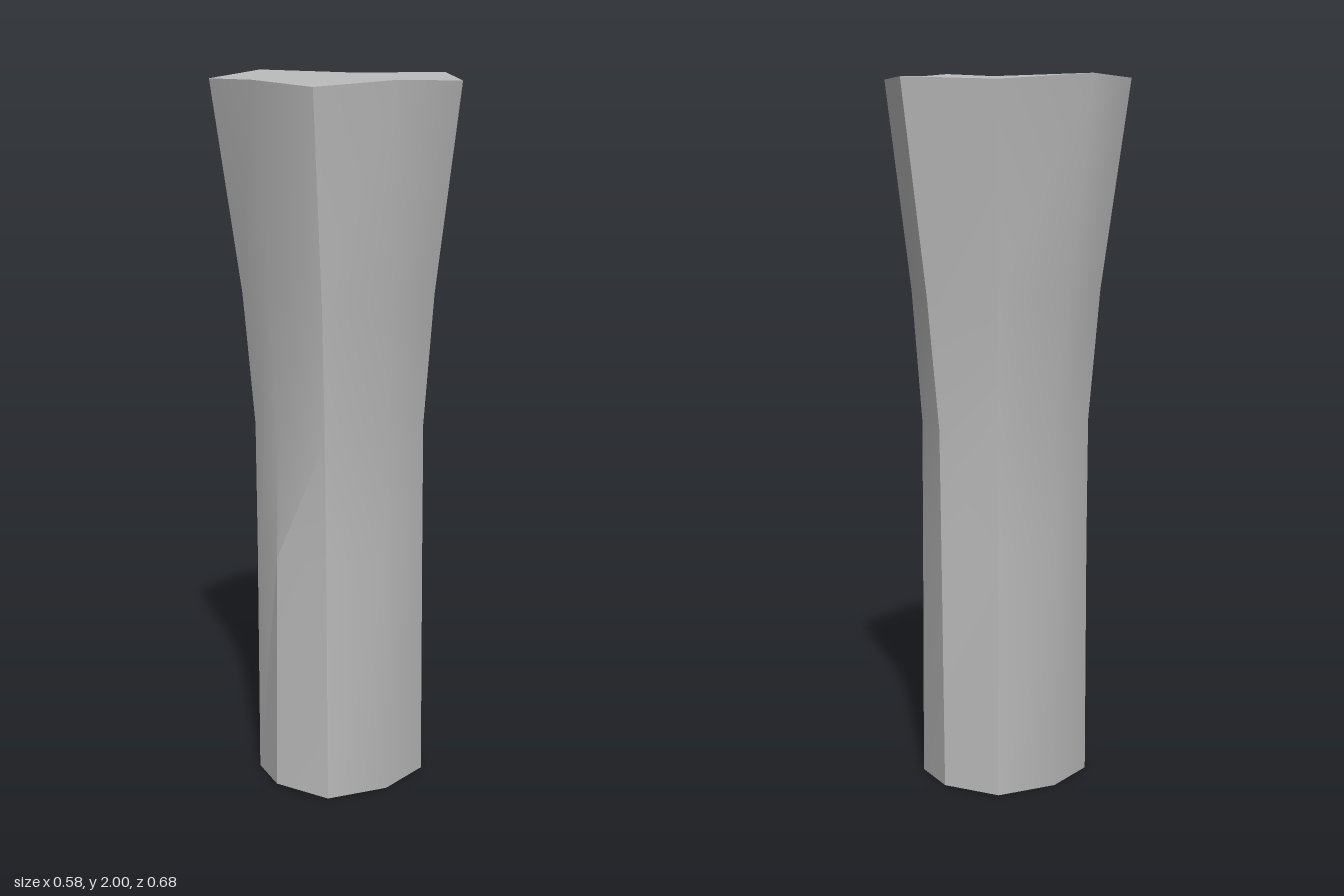
import * as THREE from 'three';
import { toCreasedNormals } from 'three/addons/utils/BufferGeometryUtils.js';

// Half outline of each level, from the front tip round the left side to the back tip: [x, y, z]
const levels = [
  [[0, 0.01, 0.28], [0.157, 0, 0.22], [0.205, 0, 0.045], [0.157, 0, -0.13], [0, 0.005, -0.19]],
  [[0, 0.68, 0.272], [0.155, 0.68, 0.222], [0.203, 0.68, 0.045], [0.155, 0.68, -0.13], [0, 0.68, -0.2]],
  [[0, 1.03, 0.266], [0.155, 1.03, 0.225], [0.203, 1.03, 0.047], [0.155, 1.03, -0.13], [0, 1.03, -0.206]],
  [[0, 1.4, 0.292], [0.175, 1.4, 0.25], [0.236, 1.4, 0.06], [0.175, 1.4, -0.15], [0, 1.4, -0.25]],
  [[0, 1.996, 0.34], [0.224, 1.988, 0.317], [0.291, 2, 0.093], [0.226, 1.983, -0.2], [0, 1.99, -0.341]],
];

// Mirror a half outline into a closed ring of eight corners
function ring(half) {
  const mirrored = half.slice(1, -1).reverse().map(([x, y, z]) => [-x, y, z]);
  return [...half, ...mirrored];
}

function loft(rings) {
  const positions = [];
  const tri = (a, b, c) => positions.push(...a, ...b, ...c);
  const n = rings[0].length;
  const bottom = rings[0];
  const top = rings[rings.length - 1];

  for (let i = 0; i < n; i++) {
    const j = (i + 1) % n;
    // Side walls
    for (let k = 0; k < rings.length - 1; k++) {
      const low = rings[k], high = rings[k + 1];
      tri(low[i], low[j], high[j]);
      tri(low[i], high[j], high[i]);
    }
    // End caps
    tri([0, 1.992, 0], top[i], top[j]);
    tri([0, 0.002, 0.045], bottom[j], bottom[i]);
  }
  const geometry = new THREE.BufferGeometry();
  geometry.setAttribute('position', new THREE.Float32BufferAttribute(positions, 3));
  return toCreasedNormals(geometry, THREE.MathUtils.degToRad(35));
}

export function createModel() {
  const grey = new THREE.MeshStandardMaterial({ color: 0xbcbcbc });
  grey.name = 'light grey';

  const group = new THREE.Group();
  group.name = 'flaredColumn';

  // Eight-sided shaft flaring towards the top
  const shaft = new THREE.Mesh(loft(levels.map(ring)), grey);
  shaft.name = 'shaft';
  group.add(shaft);
  return group;
}
